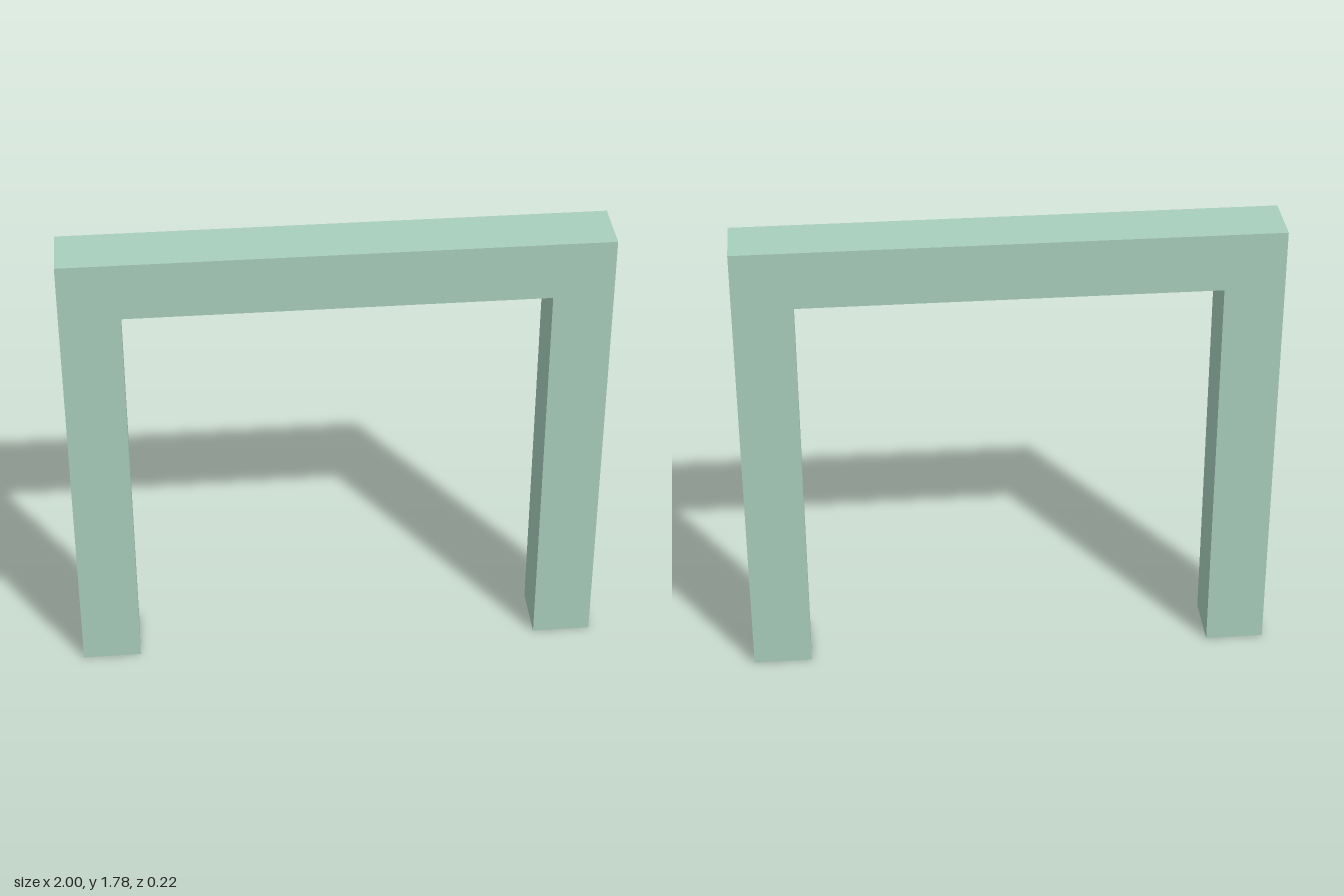
import * as THREE from 'three';

export function createModel() {
  const group = new THREE.Group();
  group.name = 'archway';

  const halfWidth = 1;
  const height = 16 / 9;
  const beam = 2 / 9; // square section of posts and lintel
  const inner = halfWidth - beam;

  // One continuous frame: two posts joined by a lintel
  const outline = new THREE.Shape([
    [-halfWidth, 0], [-inner, 0], [-inner, height - beam], [inner, height - beam],
    [inner, 0], [halfWidth, 0], [halfWidth, height], [-halfWidth, height],
  ].map(([x, y]) => new THREE.Vector2(x, y)));

  const geometry = new THREE.ExtrudeGeometry(outline, { depth: beam, bevelEnabled: false });
  geometry.translate(0, 0, -beam / 2);

  const frame = new THREE.Mesh(geometry, new THREE.MeshStandardMaterial({ color: 0xa9cfbe }));
  frame.name = 'postAndLintelFrame';
  group.add(frame);

  return group;
}
